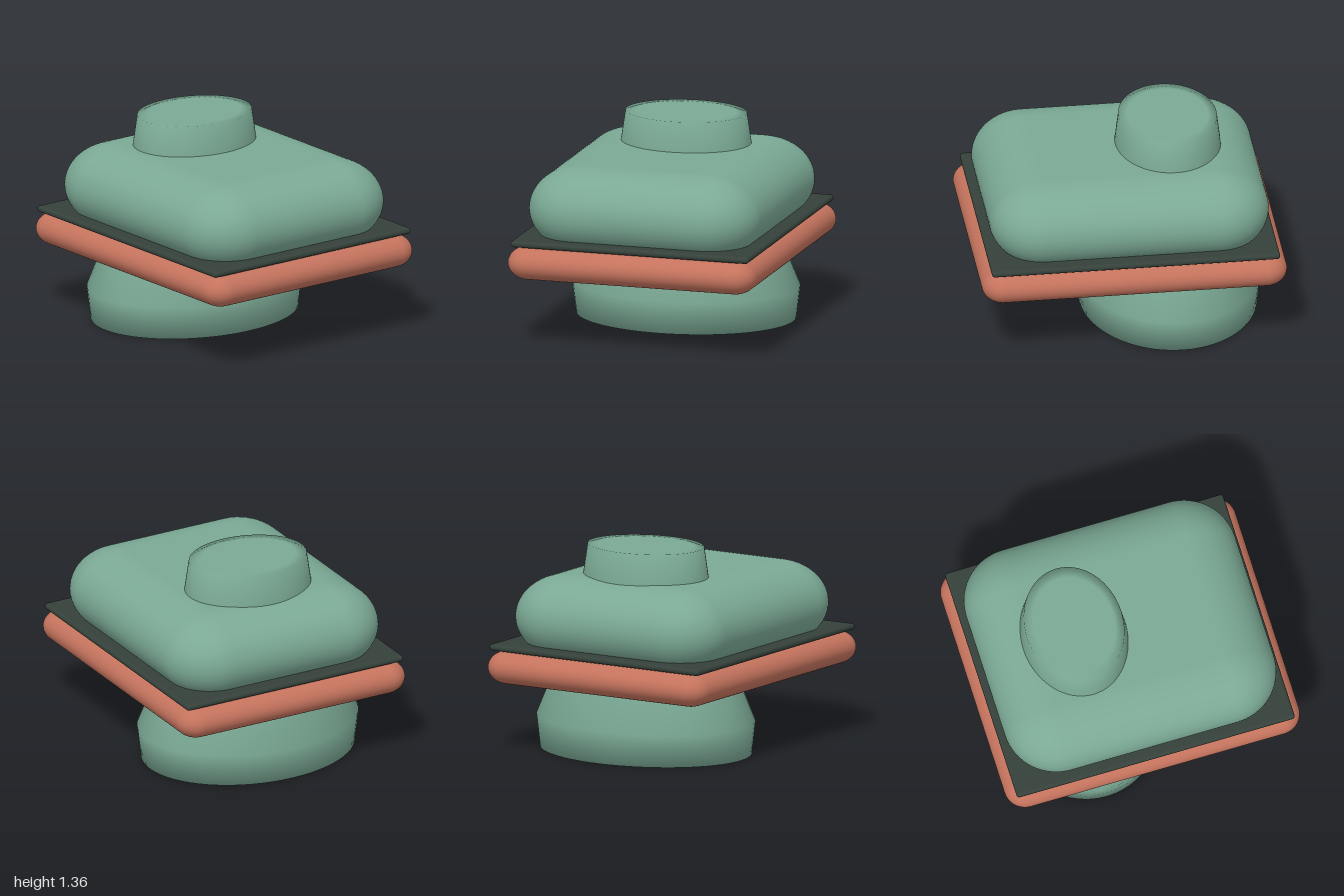
import * as THREE from 'three';
import { RoundedBoxGeometry } from 'three/addons/geometries/RoundedBoxGeometry.js';

const GREEN = 0x7ba995, RED = 0xc4735d, DARK = 0x35413a;

export function createModel() {
  const model = new THREE.Group();

  const add = (name, geometry, color) => {
    const mesh = new THREE.Mesh(geometry, new THREE.MeshStandardMaterial({ color }));
    mesh.name = name;
    model.add(mesh);
    return mesh;
  };

  // Soft box between two heights; its edge radius is squashed with the height
  const softBox = (name, width, depth, bottom, top, radius, color) => {
    const geometry = new RoundedBoxGeometry(width, radius * 2, depth, 10, radius);
    geometry.scale(1, (top - bottom) / (radius * 2), 1);
    add(name, geometry, color).position.y = (bottom + top) / 2;
  };

  // Oval turned part, profile given as [half width, height] from bottom to top
  const oval = (name, profile, color) => {
    const points = profile.map(([r, y]) => new THREE.Vector2(r, y));
    const geometry = new THREE.LatheGeometry(points, 64);
    geometry.scale(1, 1, 0.795);
    add(name, geometry, color).position.z = -0.312;
  };

  // Foot under the rear half
  oval('foot', [[0, 0], [0.55, 0], [0.73, 0], [0.755, 0.215], [0.66, 0.44], [0.655, 0.5]], GREEN);

  // Stacked slab, thin plate and cushion body
  softBox('slab', 1.685, 2, 0.45, 0.67, 0.14, RED);
  softBox('plate', 1.62, 1.89, 0.67, 0.712, 0.021, DARK);
  softBox('body', 1.56, 1.83, 0.6, 1.157, 0.35, GREEN);

  // Knob on top, toward the back
  oval('knob', [[0.435, 1.13], [0.432, 1.157], [0.402, 1.355], [0.33, 1.355], [0, 1.355]], GREEN);

  return model;
}
